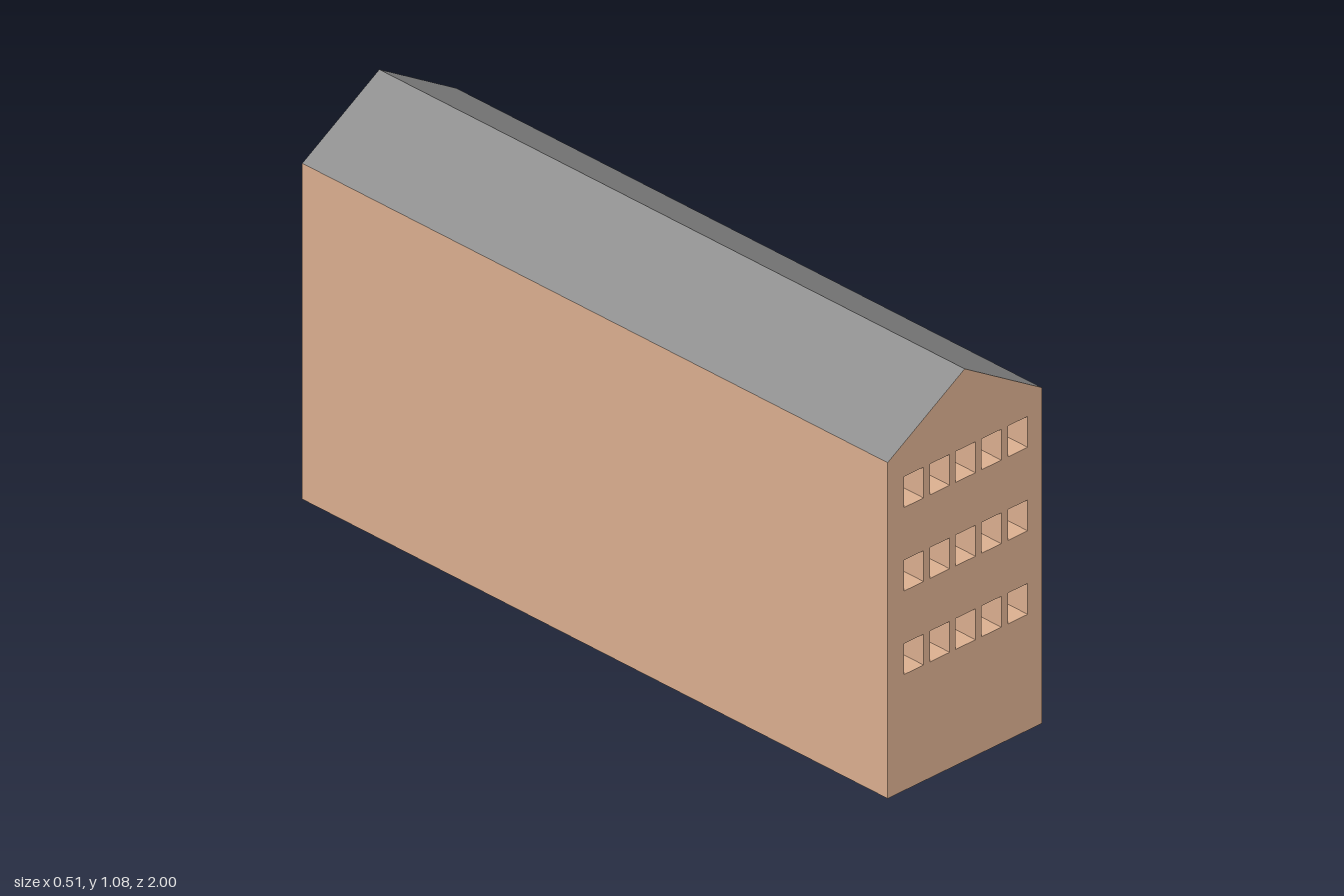
import * as THREE from 'three';

const HALF_W = 0.257, EAVE = 0.925, RIDGE = 1.08, HALF_L = 1;
const WIN_W = 0.066, WIN_H = 0.085, WIN_DEPTH = 0.17;
const COLUMNS = [-0.17, -0.083, 0.003, 0.089, 0.177];
const ROWS = [0.362, 0.592, 0.822];

const wallMat = new THREE.MeshStandardMaterial({ color: 0xdfb292, side: THREE.DoubleSide });
const roofMat = new THREE.MeshStandardMaterial({ color: 0x8e8e8e, side: THREE.DoubleSide });

// House-shaped end wall outline
function gableShape() {
  return new THREE.Shape([
    new THREE.Vector2(-HALF_W, 0),
    new THREE.Vector2(HALF_W, 0),
    new THREE.Vector2(HALF_W, EAVE),
    new THREE.Vector2(0, RIDGE),
    new THREE.Vector2(-HALF_W, EAVE),
  ]);
}

function rectHole(cx, cy, w, h) {
  return new THREE.Path([
    new THREE.Vector2(cx - w / 2, cy - h / 2),
    new THREE.Vector2(cx - w / 2, cy + h / 2),
    new THREE.Vector2(cx + w / 2, cy + h / 2),
    new THREE.Vector2(cx + w / 2, cy - h / 2),
  ]);
}

// Box without its +z face, used as a window recess
function openBox(w, h, d) {
  const geo = new THREE.BoxGeometry(w, h, d);
  const index = Array.from(geo.index.array);
  index.splice(24, 6);
  geo.setIndex(index);
  geo.clearGroups();
  return geo;
}

export function createModel() {
  const group = new THREE.Group();
  group.name = 'house';
  const add = (name, geo, mat, parent = group) => {
    const mesh = new THREE.Mesh(geo, mat);
    mesh.name = name;
    parent.add(mesh);
    return mesh;
  };

  // Front wall with window openings
  const front = gableShape();
  for (const y of ROWS) for (const x of COLUMNS) front.holes.push(rectHole(x, y, WIN_W, WIN_H));
  add('frontWall', new THREE.ShapeGeometry(front), wallMat).position.z = HALF_L;

  // Recessed windows
  const windows = new THREE.Group();
  windows.name = 'windows';
  group.add(windows);
  const recess = openBox(WIN_W, WIN_H, WIN_DEPTH);
  for (const y of ROWS) for (const x of COLUMNS) {
    add('windowRecess', recess, wallMat, windows).position.set(x, y, HALF_L - WIN_DEPTH / 2);
  }

  // Back wall
  const back = add('backWall', new THREE.ShapeGeometry(gableShape()), wallMat);
  back.rotation.y = Math.PI;
  back.position.z = -HALF_L;

  // Side walls and roof slopes, mirrored; the underside stays open
  const slopeLen = Math.hypot(HALF_W, RIDGE - EAVE);
  const pitch = Math.atan2(RIDGE - EAVE, HALF_W);
  for (const [side, s] of [['left', 1], ['right', -1]]) {
    const wall = new THREE.PlaneGeometry(HALF_L * 2, EAVE);
    wall.rotateY(s * Math.PI / 2);
    add(side + 'Wall', wall, wallMat).position.set(s * HALF_W, EAVE / 2, 0);

    const slope = new THREE.PlaneGeometry(slopeLen, HALF_L * 2);
    slope.rotateX(-Math.PI / 2);
    slope.rotateZ(-s * pitch);
    add(side + 'Roof', slope, roofMat).position.set(s * HALF_W / 2, (EAVE + RIDGE) / 2, 0);
  }
  return group;
}
